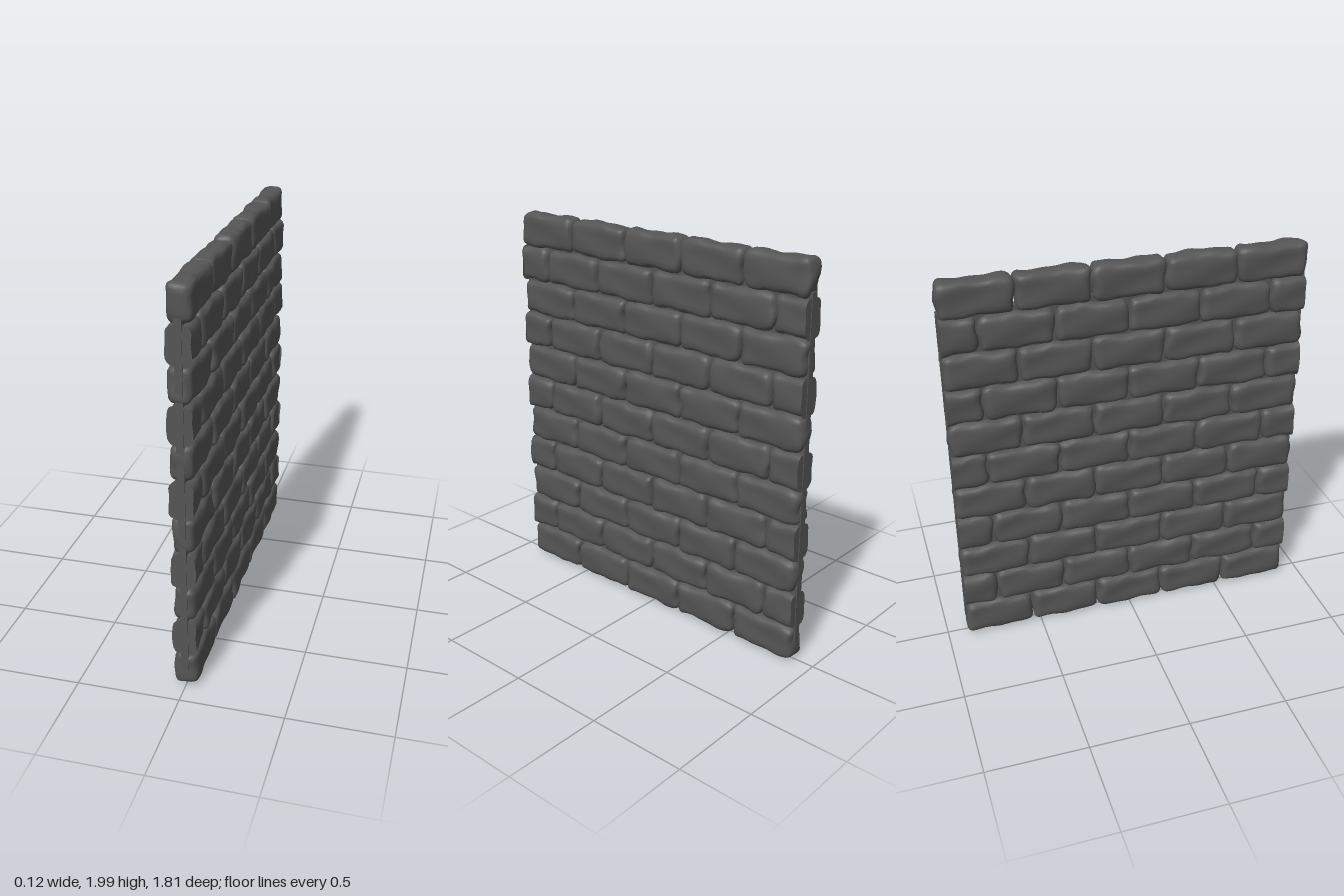
import * as THREE from 'three';
import { mergeVertices, toCreasedNormals } from 'three/addons/utils/BufferGeometryUtils.js';

const ROWS = 11, PITCH = 0.18, LENGTH = 0.36, END = 0.896;
const stoneMat = new THREE.MeshStandardMaterial({ color: 0x555555 });

// small seeded generator
function makeRandom(seed) {
  return () => (seed = (seed * 16807) % 2147483647) / 2147483647;
}

// Rounded, lumpy block; vertices past the wall end are cut flat
function stoneGeometry(cy, cz, rand, cut) {
  const half = new THREE.Vector3(0.054, 0.087, 0.177), r = 0.032;
  const inner = half.clone().subScalar(r);
  let geo = new THREE.BoxGeometry(2, 2, 2, 6, 9, 16);
  geo.deleteAttribute('uv');
  geo.deleteAttribute('normal');
  geo = mergeVertices(geo);

  const phase = Array.from({ length: 8 }, () => rand() * Math.PI * 2);
  const tilt = (rand() - 0.5) * 0.02;
  const pos = geo.attributes.position;
  const p = new THREE.Vector3(), c = new THREE.Vector3();
  const warp = (u) => 0.4 * u + 0.6 * Math.sin(u * Math.PI / 2);
  for (let i = 0; i < pos.count; i++) {
    p.fromBufferAttribute(pos, i);
    p.set(warp(p.x), warp(p.y), warp(p.z)).multiply(half);
    c.copy(p).clamp(inner.clone().negate(), inner);
    p.sub(c).setLength(r).add(c);
    // wobble of outline and faces
    const { x, y, z } = p;
    const side = x > 0 ? 1 : 2;
    p.x += (x / half.x) * (0.004 * Math.sin(24 * z + 9 * y + phase[0] * side)
      + 0.003 * Math.sin(38 * y - 13 * z + phase[1] * side));
    p.y += (y / half.y) * (0.004 * Math.sin(21 * z + 18 * x + phase[2])
      + 0.003 * Math.sin(47 * z - 25 * x + phase[3])) + tilt * z;
    p.z += (z / half.z) * (0.005 * Math.sin(30 * y + 22 * x + phase[4])
      + 0.003 * Math.sin(55 * y + 30 * x + phase[5]));
    p.y = THREE.MathUtils.clamp(p.y + cy, 0, 2);
    p.z += cz;
    if (cut) p.z = THREE.MathUtils.clamp(p.z, -END, END);
    pos.setXYZ(i, p.x, p.y, p.z);
  }
  return toCreasedNormals(geo, 1.0);
}

export function createModel() {
  const wall = new THREE.Group();
  wall.name = 'stoneWall';
  const rand = makeRandom(4217);

  // Courses in running bond, every second one ending in half stones
  for (let row = 0; row < ROWS; row++) {
    const course = new THREE.Group();
    course.name = `course${row + 1}`;
    const count = row % 2 ? 6 : 5;
    for (let i = 0; i < count; i++) {
      const z = (i - (count - 1) / 2) * LENGTH;
      const isHalf = count === 6 && (i === 0 || i === 5);
      const y = 1 + (row - (ROWS - 1) / 2) * PITCH;
      const stone = new THREE.Mesh(stoneGeometry(y, z, rand, isHalf), stoneMat);
      stone.name = isHalf ? 'halfStone' : 'stone';
      course.add(stone);
    }
    wall.add(course);
  }

  // Thin mortar core behind the joints
  const core = new THREE.Mesh(new THREE.BoxGeometry(0.035, 1.74, 1.8), stoneMat);
  core.name = 'mortarCore';
  core.position.set(0, 0.97, 0);
  wall.add(core);
  return wall;
}
